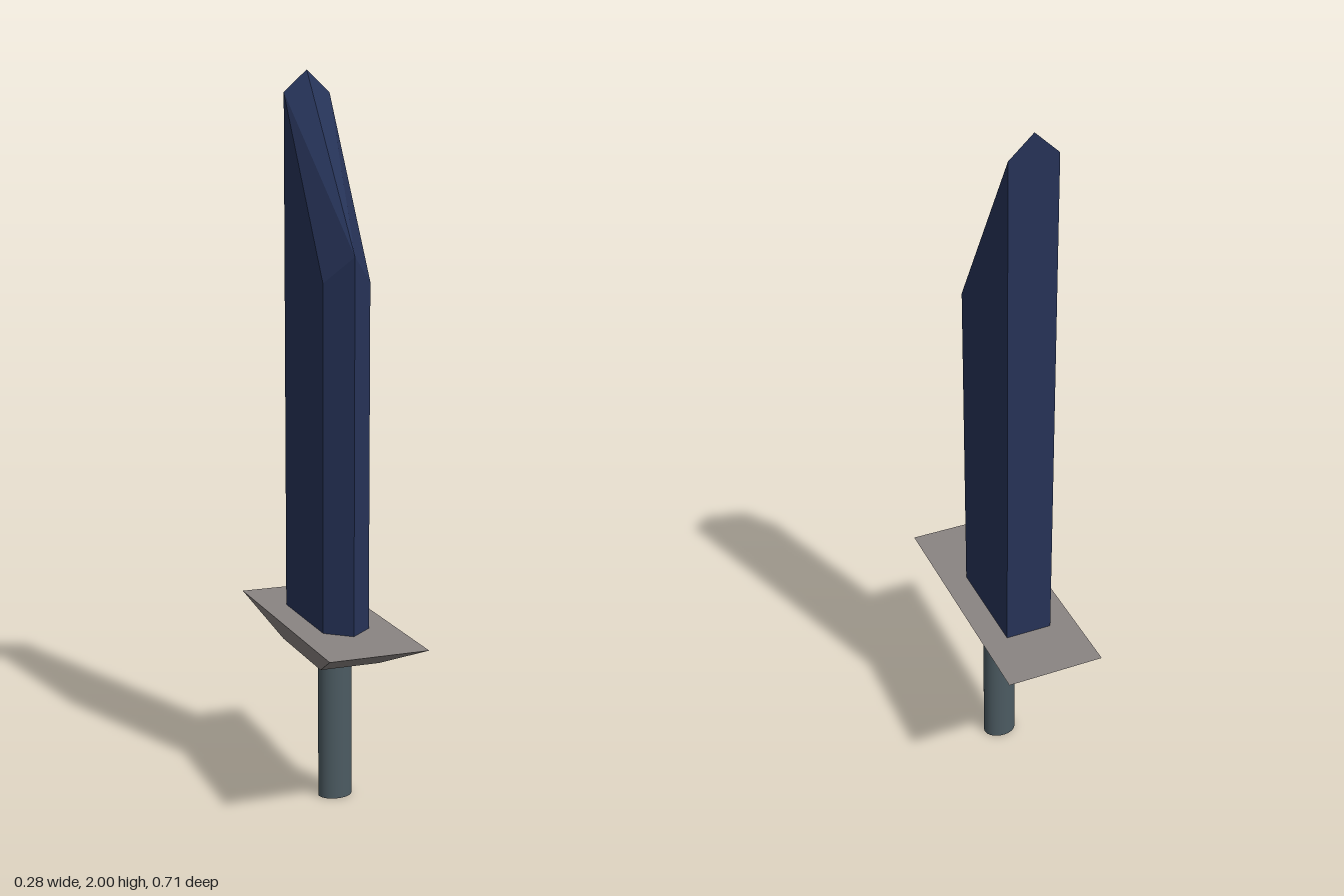
import * as THREE from 'three';

const material = (name, color) => {
  const m = new THREE.MeshStandardMaterial({ color });
  m.name = name;
  return m;
};

// Flat-sided prism: joins a bottom and a top ring of equal length.
// Rings run counter-clockwise seen from below (outward-facing sides).
function loft(bottom, top, topFaces) {
  const pos = [];
  const tri = (...pts) => pts.forEach((p) => pos.push(...p));
  const n = bottom.length;
  for (let i = 0; i < n; i++) {
    const j = (i + 1) % n;
    tri(bottom[i], top[j], bottom[j]);
    tri(bottom[i], top[i], top[j]);
  }
  for (let i = 1; i < n - 1; i++) tri(bottom[0], bottom[i], bottom[i + 1]);
  topFaces.forEach(([a, b, c]) => tri(top[a], top[b], top[c]));
  const geometry = new THREE.BufferGeometry();
  geometry.setAttribute('position', new THREE.Float32BufferAttribute(pos, 3));
  geometry.computeVertexNormals();
  return geometry;
}

export function createModel() {
  const group = new THREE.Group();
  const add = (name, geometry, mat) => {
    const mesh = new THREE.Mesh(geometry, mat);
    mesh.name = name;
    group.add(mesh);
    return mesh;
  };

  const navy = material('navy steel', 0x263358);
  const stone = material('warm grey', 0x8a8482);
  const slate = material('slate grip', 0x4c5b62);

  // Blade: five-sided section with a front edge and a slanted, bevelled tip
  const w = 0.066, back = -0.177, shoulder = 0.12, edge = 0.177;
  const bladeTop = [
    [0, 1.52, edge], [-w, 1.45, shoulder], [-w, 1.94, back],
    [0, 2, back], [w, 1.94, back], [w, 1.45, shoulder],
  ];
  const bladeBottom = bladeTop.map(([x, , z]) => [x, 0.51, z]);
  add('blade', loft(bladeBottom, bladeTop,
    [[0, 2, 1], [0, 3, 2], [0, 4, 3], [0, 5, 4]]), navy);

  // Guard: rectangular block flaring upward
  const rect = (x, y, z) => [[x, y, z], [-x, y, z], [-x, y, -z], [x, y, -z]];
  add('guard', loft(rect(0.085, 0.422, 0.15), rect(0.138, 0.513, 0.357),
    [[0, 2, 1], [0, 3, 2]]), stone);

  // Handle: slightly oval grip, a touch off centre
  const handle = add('handle', new THREE.CylinderGeometry(1, 1, 0.43, 32), slate);
  handle.scale.set(0.048, 1, 0.037);
  handle.position.set(0.014, 0.215, 0);

  return group;
}
